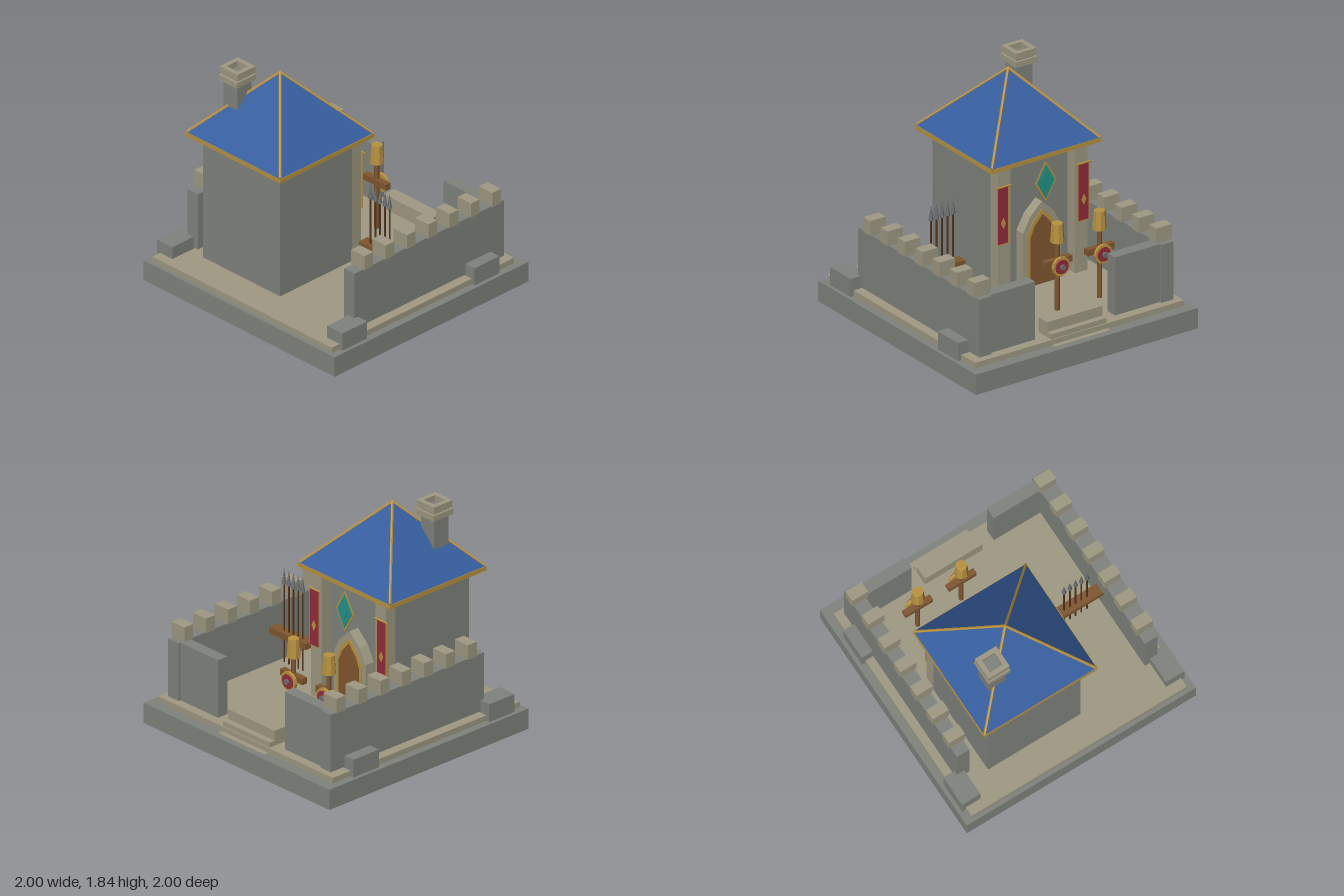
import * as THREE from 'three';

const flat = (name, color) => {
  const m = new THREE.MeshStandardMaterial({ color });
  m.name = name;
  return m;
};

export function createModel() {
  const root = new THREE.Group();
  root.name = 'fortifiedCourtyard';
  const stone = flat('grey stone', 0x80837d), tan = flat('tan stone', 0x9f9983);
  const blue = flat('blue roof', 0x365e9f), gold = flat('gold', 0xb8913f);
  const wood = flat('wood', 0x80562f), darkWood = flat('dark wood', 0x4f321d);
  const steel = flat('steel', 0x6b6e71), red = flat('red cloth', 0x952a3c), teal = flat('teal', 0x21948a);

  const add = (name, geo, mat, x = 0, y = 0, z = 0, parent = root) => {
    const m = new THREE.Mesh(geo, mat);
    m.name = name;
    m.position.set(x, y, z);
    parent.add(m);
    return m;
  };
  // Box given by its lower and upper corner
  const box = (name, mat, x0, x1, y0, y1, z0, z1, parent) =>
    add(name, new THREE.BoxGeometry(x1 - x0, y1 - y0, z1 - z0), mat, (x0 + x1) / 2, (y0 + y1) / 2, (z0 + z1) / 2, parent);
  // Flat-sided cylinder
  const cyl = (rTop, rBottom, h, sides) => {
    const g = new THREE.CylinderGeometry(rTop, rBottom, h, sides).toNonIndexed();
    g.computeVertexNormals();
    return g;
  };
  // Extruded outline in the xy plane
  const plate = (points, depth) => new THREE.ExtrudeGeometry(
    new THREE.Shape(points.map(p => new THREE.Vector2(...p))), { depth, bevelEnabled: false });
  const diamond = (w, h, d = 0.004) => plate([[0, -h], [w, 0], [0, h], [-w, 0]], d);

  // Ground and steps
  box('foundation', stone, -1, 1, 0, 0.165, -1, 1);
  box('courtyardFloor', tan, -0.94, 0.94, 0.16, 0.21, -0.91, 0.97);
  box('lowerStep', tan, -0.25, 0.25, 0.02, 0.17, -0.95, -0.74);
  box('middleStep', tan, -0.25, 0.25, 0.16, 0.25, -0.9, -0.74);
  box('upperStep', tan, -0.25, 0.25, 0.2, 0.33, -0.85, -0.74);

  // Walls, battlements and corner blocks, mirrored
  for (const s of [-1, 1]) {
    const side = (name, mat, x0, x1, ...r) => box(name, mat, s > 0 ? x0 : -x1, s > 0 ? x1 : -x0, ...r);
    side('sideWall', stone, 0.765, 0.875, 0.22, 0.69, -0.87, 0.67);
    side('backWall', stone, 0.36, 0.765, 0.22, 0.69, -0.85, -0.755);
    side('frontCornerBlock', stone, 0.81, 0.97, 0.16, 0.31, 0.635, 0.89);
    side('backCornerBlock', stone, 0.81, 0.97, 0.16, 0.31, -0.73, -0.475);
    for (let i = 0; i < 7; i++) {
      const z = 0.54 - 0.22 * i;
      side('merlon', tan, 0.75, 0.89, 0.69, 0.81, z - 0.045, z + 0.045);
    }
  }

  // Tower
  const cx = -0.2425, cz = 0.34;
  box('towerBody', stone, -0.645, 0.16, 0.23, 1.265, -0.005, 0.735);
  box('buttress', tan, -0.645, -0.535, 0.23, 1.265, -0.1, -0.005);
  box('buttress', tan, 0.05, 0.16, 0.23, 1.265, -0.1, -0.005);

  // Roof with gold eaves and hips
  box('eaves', gold, -0.7375, 0.2525, 1.26, 1.295, -0.146, 0.826);
  const roof = new THREE.ConeGeometry(Math.SQRT1_2, 0.515, 4).rotateY(Math.PI / 4).toNonIndexed();
  roof.scale(0.98, 1, 0.965);
  roof.computeVertexNormals();
  add('roof', roof, blue, cx, 1.295 + 0.2575, cz);
  const apex = new THREE.Vector3(cx, 1.808, cz);
  for (const sx of [-1, 1]) for (const sz of [-1, 1]) {
    const corner = new THREE.Vector3(cx + sx * 0.485, 1.298, cz + sz * 0.478);
    const dir = apex.clone().sub(corner);
    const hip = add('roofHip', cyl(0.011, 0.011, dir.length(), 6), gold);
    hip.position.copy(corner).addScaledVector(dir, 0.5);
    hip.quaternion.setFromUnitVectors(new THREE.Vector3(0, 1, 0), dir.normalize());
  }

  // Chimney with two caps, the upper one hollow
  box('chimneyShaft', stone, -0.555, -0.412, 1.35, 1.73, 0.468, 0.612);
  box('chimneyLowerCap', tan, -0.578, -0.388, 1.725, 1.772, 0.442, 0.64);
  box('chimneyNeck', stone, -0.56, -0.405, 1.77, 1.79, 0.46, 0.62);
  const square = (C, h) => new C([[-h, -h], [h, -h], [h, h], [-h, h]].map(p => new THREE.Vector2(...p)));
  const ring = square(THREE.Shape, 0.093);
  ring.holes.push(square(THREE.Path, 0.056));
  add('chimneyTopCap', new THREE.ExtrudeGeometry(ring, { depth: 0.055, bevelEnabled: false }).rotateX(-Math.PI / 2),
    tan, -0.483, 1.785, 0.54);

  // Pointed doorway: surround, gold frame and door leaf
  const arch = (w, shoulder, top) => [[-w, 0], [w, 0], [w, shoulder], [w * 0.62, shoulder + (top - shoulder) * 0.55],
    [0, top], [-w * 0.62, shoulder + (top - shoulder) * 0.55], [-w, shoulder]];
  add('doorSurround', plate(arch(0.17, 0.44, 0.66), 0.085), tan, cx, 0.23, -0.09);
  add('doorFrame', plate(arch(0.135, 0.41, 0.6), 0.006), gold, cx, 0.23, -0.096);
  add('door', plate(arch(0.11, 0.39, 0.56), 0.006), wood, cx, 0.23, -0.101);

  // Diamond emblem above the door
  add('emblemBorder', diamond(0.097, 0.168), gold, cx, 1.07, -0.138);
  add('emblemField', diamond(0.078, 0.138), teal, cx, 1.07, -0.142);
  add('emblemCentre', diamond(0.045, 0.0875), teal, cx, 1.09, -0.148);

  // Banners on the buttresses
  for (const x of [-0.605, 0.12]) {
    box('bannerTrim', gold, x - 0.053, x + 0.053, 0.64, 1.105, -0.106, -0.102);
    box('bannerCloth', red, x - 0.044, x + 0.044, 0.65, 1.1, -0.11, -0.105);
    add('bannerDiamond', diamond(0.022, 0.045), gold, x, 0.815, -0.113);
    add('bannerRod', cyl(0.007, 0.007, 0.135, 6).rotateZ(Math.PI / 2), gold, x, 1.112, -0.113);
  }

  // Training dummies with helmet and shield
  for (const x of [-0.465, -0.085]) {
    const dummy = new THREE.Group();
    dummy.name = 'trainingDummy';
    dummy.position.set(x, 0, -0.505);
    root.add(dummy);
    add('post', cyl(0.019, 0.019, 0.57, 8), wood, 0, 0.495, 0, dummy);
    box('crossbar', wood, -0.12, 0.12, 0.58, 0.63, -0.024, 0.024, dummy);
    add('helmet', cyl(0.044, 0.055, 0.15, 8).rotateY(Math.PI / 8), gold, 0, 0.84, 0, dummy);
    const disc = (name, r, d, mat, z) => add(name, cyl(r, r, d, 12).rotateX(Math.PI / 2), mat, 0, 0.58, z, dummy);
    disc('shieldRim', 0.077, 0.022, gold, -0.046);
    disc('shieldFace', 0.057, 0.012, red, -0.06);
    disc('shieldBoss', 0.022, 0.02, steel, -0.072);
  }

  // Spear rack
  box('rackBoard', wood, 0.36, 0.755, 0.48, 0.53, 0.03, 0.12);
  for (let i = 0; i < 5; i++) {
    const x = 0.44 + i * 0.05;
    add('spearShaft', cyl(0.007, 0.007, 0.65, 6), darkWood, x, 0.595, 0.077);
    add('spearTip', cyl(0, 0.019, 0.125, 6), steel, x, 0.973, 0.077);
  }
  return root;
}
